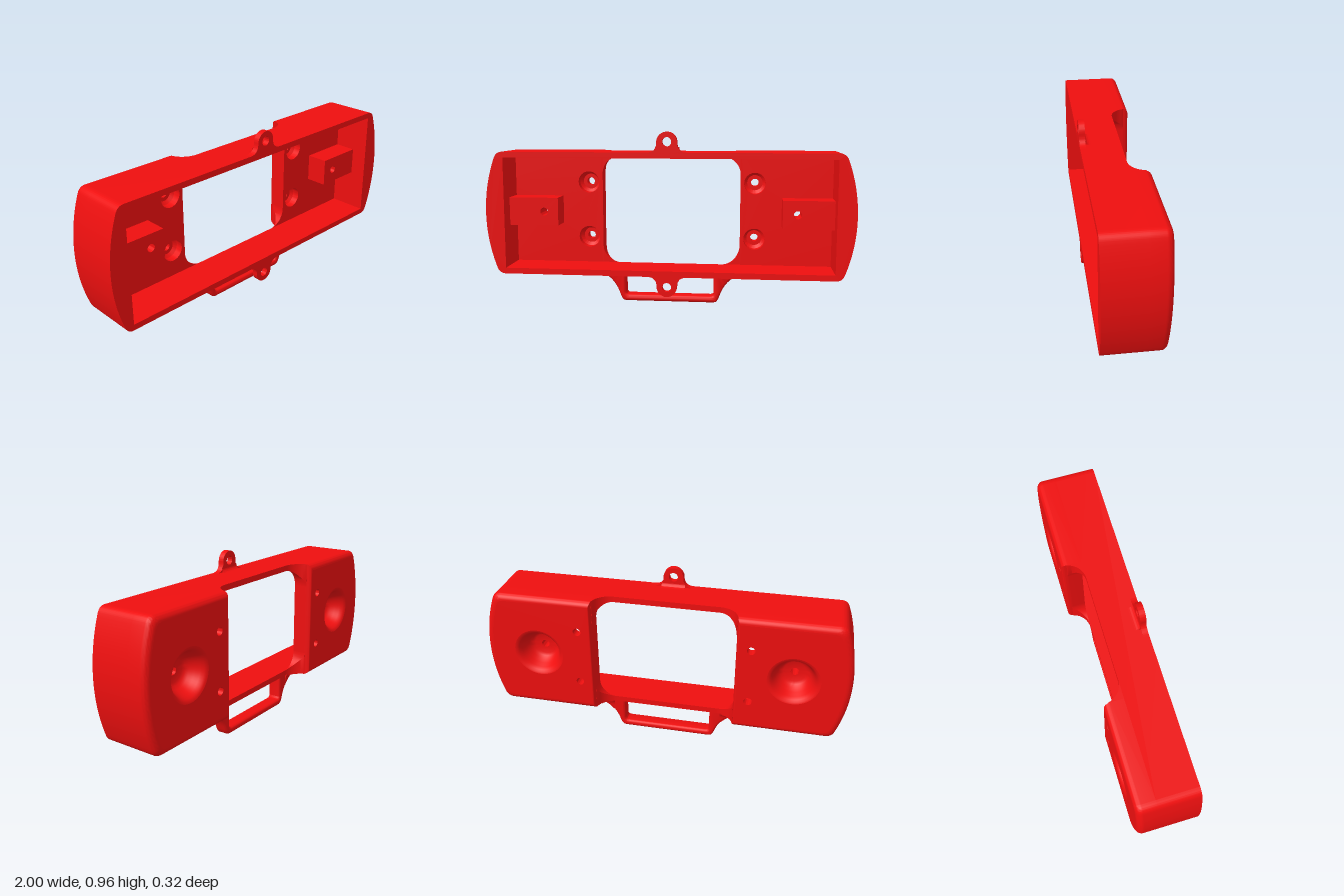
import * as THREE from 'three';
import { toCreasedNormals } from 'three/addons/utils/BufferGeometryUtils.js';

const V2 = (x, y) => new THREE.Vector2(x, y);
const BACK = -0.162, FRONT = 0.163, FLOOR = -0.055;   // z levels
const MID = 0.51, HALF = 0.337;                       // body centre height, half height

export function createModel() {
  const model = new THREE.Group();
  const material = new THREE.MeshStandardMaterial({ color: 0xee0f0f, side: THREE.DoubleSide });

  const add = (parent, name, geometry, crease = 0.6) => {
    const mesh = new THREE.Mesh(toCreasedNormals(geometry, crease), material);
    mesh.name = name;
    parent.add(mesh);
    return mesh;
  };
  const extrude = (shape, z0, z1, options = {}) =>
    new THREE.ExtrudeGeometry(shape, { depth: z1 - z0, bevelEnabled: false, curveSegments: 24, ...options })
      .translate(0, 0, z0);
  const circle = (x, y, r) => new THREE.Path().absarc(x, y, r, 0, Math.PI * 2, true);

  // Skin between equal-length closed sections, with optional fan caps
  const loft = (sections, caps = true) => {
    const n = sections[0].length, index = [];
    for (let s = 0; s < sections.length - 1; s++) {
      for (let i = 0; i < n; i++) {
        const a = s * n + i, b = s * n + (i + 1) % n;
        index.push(a, b, b + n, a, b + n, a + n);
      }
    }
    const last = (sections.length - 1) * n;
    if (caps) for (let i = 1; i < n - 1; i++) index.push(0, i + 1, i, last, last + i, last + i + 1);
    const g = new THREE.BufferGeometry();
    g.setAttribute('position', new THREE.Float32BufferAttribute(sections.flat(2), 3));
    g.setIndex(index);
    return g;
  };

  // Bowed end outline, from the bottom edge up to the top edge
  const end = new THREE.Path();
  end.moveTo(0.9, -HALF);
  end.quadraticCurveTo(0.932, -HALF, 0.945, -0.305);
  end.absarc(0.127, 0, 0.873, -0.357, 0.357, false);
  end.quadraticCurveTo(0.932, HALF, 0.9, HALF);
  const endPts = end.getPoints(20);

  const body = new THREE.Group();
  body.name = 'body';
  body.position.y = MID;
  model.add(body);

  // Surrounding wall, open at the front
  const rim = new THREE.Shape([...endPts, ...endPts.map((p) => V2(-p.x, -p.y))]);
  rim.holes.push(new THREE.Path([V2(-0.897, -0.305), V2(-0.897, 0.305), V2(0.897, 0.305), V2(0.897, -0.305)]));
  add(body, 'rimWall', extrude(rim, FLOOR, FRONT));

  // Curve shared by the window corners and the notch in the back
  const corner = (x) => Math.sqrt(Math.max(0, 0.01 - (x - 0.29) ** 2));
  const notchZ = (x) => -0.155 + corner(x);

  const outline = [...endPts, V2(0.39, HALF), V2(0.39, -HALF)];
  const inset = (d) => outline.map((p) => V2(
    p.x < 0.5 ? p.x + 0.4 * d : 0.695 + (p.x - 0.695) * (1 - d / 0.305),
    p.y * (1 - d / HALF)));
  const screws = [[0.47, 0.157], [0.47, -0.157]];

  const buildHalf = () => {
    const half = new THREE.Group();
    half.name = 'bodyHalf';

    // Thick back plate with a rounded rear edge
    const r = 0.035, sections = [];
    for (let k = 0; k <= 8; k++) {
      const a = (k / 8) * Math.PI / 2, z = BACK + r * (1 - Math.cos(a));
      sections.push(inset(r * (1 - Math.sin(a))).map((p) => [p.x, p.y, z]));
    }
    sections.push(outline.map((p) => [p.x, p.y, FLOOR]));
    add(half, 'plateEdge', loft(sections, false), 0.7);
    const face = (points, screwR, centreR) => {
      const s = new THREE.Shape(points);
      screws.forEach(([x, y]) => s.holes.push(circle(x, y, screwR)));
      s.holes.push(circle(0.7, 0, centreR));
      return new THREE.ShapeGeometry(s, 24);
    };
    const backFace = face(inset(r), 0.022, 0.14).rotateY(Math.PI);
    backFace.scale(-1, 1, 1).translate(0, 0, BACK);
    const order = backFace.index.array;
    for (let i = 0; i < order.length; i += 3) [order[i], order[i + 1]] = [order[i + 1], order[i]];
    backFace.computeVertexNormals();
    add(half, 'plateBack', backFace);
    add(half, 'plateFloor', face(outline, 0.06, 0.07).translate(0, 0, FLOOR));

    // Turned recesses: radius and depth from the back
    const recess = (name, x, y, profile) =>
      add(half, name, new THREE.LatheGeometry(profile.map(([a, b]) => V2(a, b)), 48)
        .rotateX(Math.PI / 2).translate(x, y, BACK));
    screws.forEach(([x, y]) => recess('screwHole', x, y,
      [[0.022, 0], [0.022, 0.05], [0.043, 0.05], [0.06, 0.065], [0.06, 0.107]]));
    recess('rearDish', 0.7, 0, [[0.14, 0], [0.13, 0.003], [0.12, 0.012], [0.111, 0.03], [0.1, 0.055],
      [0.088, 0.08], [0.075, 0.096], [0.06, 0.104], [0.022, 0.106], [0.022, 0.232]]);

    // Block behind the dish
    const boss = new THREE.Shape([V2(0.62, -0.078), V2(0.9, -0.078), V2(0.9, 0.078), V2(0.62, 0.078)]);
    boss.holes.push(circle(0.7, 0, 0.022));
    add(half, 'mountBlock', extrude(boss, FLOOR, 0.07));

    // Curved gussets between plate and walls
    for (const s of [1, -1]) {
      const cuts = [];
      for (let i = 0; i <= 14; i++) {
        const x = 0.29 + 0.1 * Math.sin((i / 14) * Math.PI / 2);
        const z = Math.max(notchZ(x), -0.135), y = 0.205 + corner(x);
        const cut = [[x, s * HALF, FLOOR], [x, s * HALF, z], [x, s * y, z], [x, s * y, FLOOR]];
        cuts.push(s > 0 ? cut : cut.reverse());
      }
      add(half, 'cornerGusset', loft(cuts));
    }
    return half;
  };
  const leftHalf = buildHalf(), rightHalf = buildHalf();
  rightHalf.rotation.z = Math.PI;
  body.add(leftHalf, rightHalf);

  // Screw tabs above and below
  const tab = new THREE.Shape();
  tab.moveTo(0.11, -0.02);
  tab.lineTo(0.11, 0);
  tab.quadraticCurveTo(0.055, 0, 0.055, 0.055);
  tab.absarc(0, 0.055, 0.055, 0, Math.PI, false);
  tab.quadraticCurveTo(-0.055, 0, -0.11, 0);
  tab.lineTo(-0.11, -0.02);
  tab.holes.push(circle(0, 0.057, 0.025));
  // Concave fillet behind each tab
  const fillet = new THREE.Shape();
  fillet.moveTo(0, -0.01);
  fillet.lineTo(0.03, -0.01);
  fillet.lineTo(0.03, 0);
  fillet.quadraticCurveTo(0, 0, 0, 0.028);
  for (const top of [true, false]) {
    const group = new THREE.Group();
    group.name = top ? 'topTab' : 'bottomTab';
    group.position.y = top ? MID + HALF : MID - HALF;
    if (!top) group.rotation.z = Math.PI;
    add(group, 'tabPlate', extrude(tab, 0.131, FRONT));
    add(group, 'tabFillet', extrude(fillet, -0.065, 0.065).rotateY(Math.PI / 2).translate(0, 0, 0.132));
    model.add(group);
  }

  // Lower loop bracket
  const base = MID - HALF;
  const arm = new THREE.QuadraticBezierCurve(V2(0.47, base), V2(0.325, base), V2(0.28, 0.035));
  const side = [V2(0.47, 0.195), ...arm.getPoints(14), V2(0.272, 0.016), V2(0.262, 0.004), V2(0.248, 0)];
  const loop = new THREE.Shape([...side, ...side.map((p) => V2(-p.x, p.y)).reverse()]);
  const slot = new THREE.Path();
  slot.moveTo(-0.248, 0.172);
  slot.lineTo(-0.248, 0.055);
  slot.quadraticCurveTo(-0.248, 0.036, -0.228, 0.036);
  slot.lineTo(0.228, 0.036);
  slot.quadraticCurveTo(0.248, 0.036, 0.248, 0.055);
  slot.lineTo(0.248, 0.172);
  loop.holes.push(slot);
  const b = 0.014;
  add(model, 'loopBracket', extrude(loop, -0.05 + b, 0.028 - b,
    { bevelEnabled: true, bevelSize: b, bevelThickness: b, bevelOffset: -b, bevelSegments: 4 }), 0.7);

  // Flares blending the bracket arms into the back plates
  for (const s of [1, -1]) {
    const cuts = [];
    for (let i = 0; i <= 12; i++) {
      const p = arm.getPoint(0.03 + 0.72 * i / 12);
      const h = Math.min(0.065, base - p.y);
      const limit = p.x >= 0.39 ? 0.09 : Math.max(0.008, -0.05 - notchZ(p.x));
      const reach = Math.min(0.09 * Math.min(1, h / 0.03), limit);
      const curve = new THREE.QuadraticBezierCurve(V2(-0.046, base - h), V2(-0.05, base - 0.2 * h),
        V2(-0.05 - reach, base - 0.1 * h));
      const cut = [[-0.03, base + 0.006], [-0.03, base - h], ...curve.getPoints(8).map((q) => [q.x, q.y]),
        [-0.05 - reach, base + 0.006]].map(([z, y]) => [s * p.x, y, z]);
      cuts.push(s > 0 ? cut : cut.reverse());
    }
    add(model, 'bracketFlare', loft(cuts), 0.7);
  }

  return model;
}
